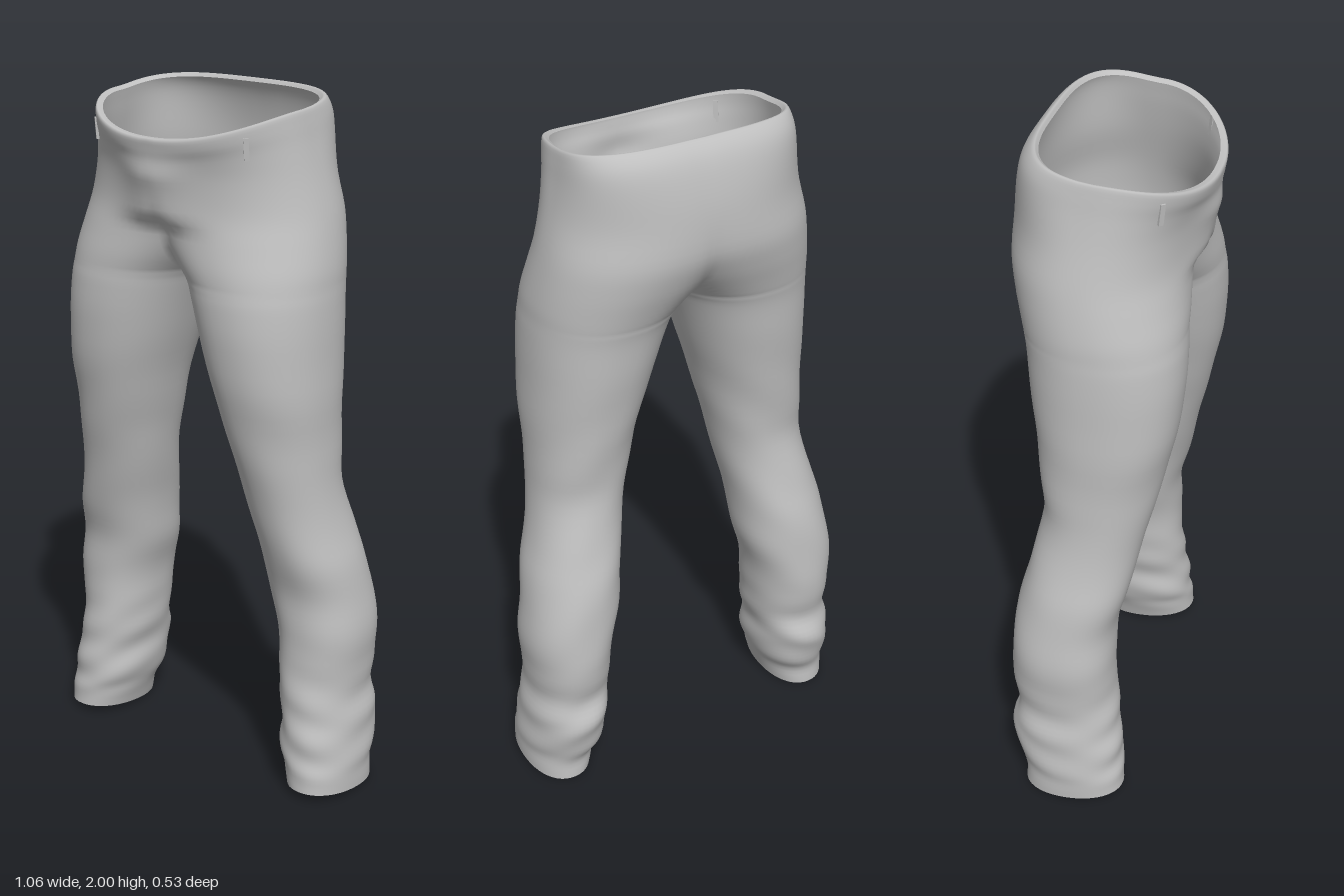
import * as THREE from 'three';
import { mergeVertices } from 'three/addons/utils/BufferGeometryUtils.js';

// Sections of one trouser half, hem to waist:
// [height, outer x, inner x, front z, back z]; a negative inner x is cut at the middle plane
const SECTIONS = [
  [0.02, 0.525, 0.33, 0.12, -0.18], [0.08, 0.527, 0.312, 0.115, -0.18],
  [0.13, 0.525, 0.29, 0.113, -0.2], [0.19, 0.522, 0.285, 0.105, -0.222],
  [0.24, 0.515, 0.28, 0.1, -0.22], [0.31, 0.505, 0.27, 0.09, -0.205],
  [0.4, 0.51, 0.262, 0.085, -0.218], [0.5, 0.515, 0.25, 0.082, -0.218],
  [0.6, 0.505, 0.225, 0.083, -0.21], [0.7, 0.488, 0.212, 0.108, -0.195],
  [0.8, 0.462, 0.197, 0.127, -0.172], [0.94, 0.435, 0.165, 0.158, -0.143],
  [1.05, 0.43, 0.142, 0.182, -0.148], [1.2, 0.428, 0.103, 0.218, -0.163],
  [1.35, 0.426, 0.058, 0.235, -0.184], [1.45, 0.422, 0.024, 0.235, -0.195],
  [1.5, 0.418, 0, 0.23, -0.205], [1.55, 0.414, -0.05, 0.226, -0.22],
  [1.62, 0.402, -0.13, 0.216, -0.243], [1.7, 0.385, -0.22, 0.208, -0.262],
  [1.8, 0.36, -0.3, 0.22, -0.26], [1.88, 0.343, -0.33, 0.24, -0.245],
  [1.935, 0.334, -0.333, 0.26, -0.224], [1.97, 0.326, -0.326, 0.265, -0.195],
  [1.962, 0.31, -0.31, 0.245, -0.182],
];
const STEPS = 4, AROUND = 48;
const smooth = (a, b, v) => THREE.MathUtils.smoothstep(v, a, b);

function sectionCurve(a, b, c) {
  return new THREE.CatmullRomCurve3(
    SECTIONS.map((s) => new THREE.Vector3(s[a], s[b], s[c])), false, 'catmullrom', 0.5);
}

// Soft cloth folds: strongest at the hem, faint at the knee, none at the hips
function folds(Y, angle) {
  const fade = 1 - smooth(1.1, 1.4, Y);
  const hem = 0.035 * (1 - smooth(0.2, 0.5, Y)) * smooth(0.03, 0.1, Y);
  const knee = 0.022 * fade * smooth(0.05, 0.3, Y);
  return 1 + hem * Math.sin(52 * Y + 2 * Math.sin(angle + 1)) * Math.cos(angle * 2 + 0.6)
    + knee * Math.sin(17 * Y + 3 * Math.cos(angle)) * Math.sin(angle + 9 * Y);
}

// One row of points, from the front middle round the outside to the back middle
function sectionRow(Y, xo, xi, zf, zb) {
  const cx = (xo + xi) / 2, rx = (xo - xi) / 2;
  const cz = (zf + zb) / 2 * (1 - 0.6 * smooth(1.7, 1.95, Y));
  const power = [0.93, THREE.MathUtils.lerp(0.92, 0.62, smooth(1.75, 1.95, Y))];
  const ends = power.map((p) =>
    xi < 0 ? Math.acos(-Math.pow(Math.min(1, Math.max(0, cx / rx)), 1 / p)) : Math.PI);
  const tilt = smooth(1.7, 1.97, Y);
  const fly = 0.04 * smooth(1.63, 1.69, Y) * (1 - smooth(1.8, 1.96, Y));
  const row = [];
  for (let i = 0; i <= AROUND; i++) {
    const t = i / AROUND * 2 - 1;
    const front = t < 0;
    const angle = front ? -t * ends[0] : -t * ends[1];
    const p = power[front ? 0 : 1];
    const c = Math.cos(angle);
    const s = Math.abs(t) === 1 && xi >= 0 ? 0 : Math.abs(Math.sin(angle));
    const fold = folds(Y, Math.abs(t) === 1 && xi >= 0 ? Math.PI : angle);
    let x = cx + rx * Math.sign(c) * Math.pow(Math.abs(c), p) * fold;
    let z = cz + (front ? zf - cz : zb - cz) * Math.pow(s, p) * fold;
    if (xi < 0) x = Math.abs(t) === 1 ? 0 : Math.max(0, x);
    // Raised fly panel at the front middle
    if (front) z += fly * Math.exp(-Math.pow(x / 0.11, 2));
    // Waist dips at the front; hem drops at the heel
    const y = Y + tilt * (z > 0 ? -1.14 * z * z : -0.16 * z)
      + 0.09 * z * (1 - smooth(0.03, 0.2, Y));
    row.push([x, Math.max(0, y), z]);
  }
  return row;
}

function trouserGeometry() {
  const widths = sectionCurve(0, 1, 2), depths = sectionCurve(0, 3, 4);
  const rows = [];
  const count = (SECTIONS.length - 1) * STEPS;
  for (let r = 0; r <= count; r++) {
    const w = widths.getPoint(r / count), d = depths.getPoint(r / count);
    const xi = Math.abs(w.z) < 1e-6 ? 0 : w.z;
    rows.push(sectionRow(w.x, w.y, xi, d.y, d.z));
  }
  const positions = [], index = [];
  const stride = AROUND + 1;
  for (const side of [1, -1]) {
    const base = positions.length / 3;
    for (const row of rows) for (const [x, y, z] of row) positions.push(side * x, y, z);
    for (let r = 0; r < count; r++) {
      for (let i = 0; i < AROUND; i++) {
        const a = base + r * stride + i, b = a + 1, c = a + stride, d = c + 1;
        if (side > 0) index.push(a, b, c, b, d, c);
        else index.push(a, c, b, b, c, d);
      }
    }
  }
  const geometry = new THREE.BufferGeometry();
  geometry.setAttribute('position', new THREE.Float32BufferAttribute(positions, 3));
  geometry.setIndex(index);
  // Weld the middle seam and the inside leg seams
  const welded = mergeVertices(geometry, 1e-4);
  welded.computeVertexNormals();
  return welded;
}

export function createModel() {
  const group = new THREE.Group();
  group.name = 'trousers';
  const cloth = new THREE.MeshStandardMaterial({ color: 0xbfbfbf, side: THREE.DoubleSide });
  cloth.name = 'grey cloth';

  const body = new THREE.Mesh(trouserGeometry(), cloth);
  body.name = 'trouserCloth';
  group.add(body);

  // Small loops at the front of the waist
  for (const side of [1, -1]) {
    const loop = new THREE.Mesh(new THREE.BoxGeometry(0.014, 0.06, 0.008), cloth);
    loop.name = side > 0 ? 'leftWaistLoop' : 'rightWaistLoop';
    loop.position.set(side * 0.262, 1.88, 0.172);
    loop.rotation.set(0.1, side * 0.75, 0);
    group.add(loop);
  }
  return group;
}
